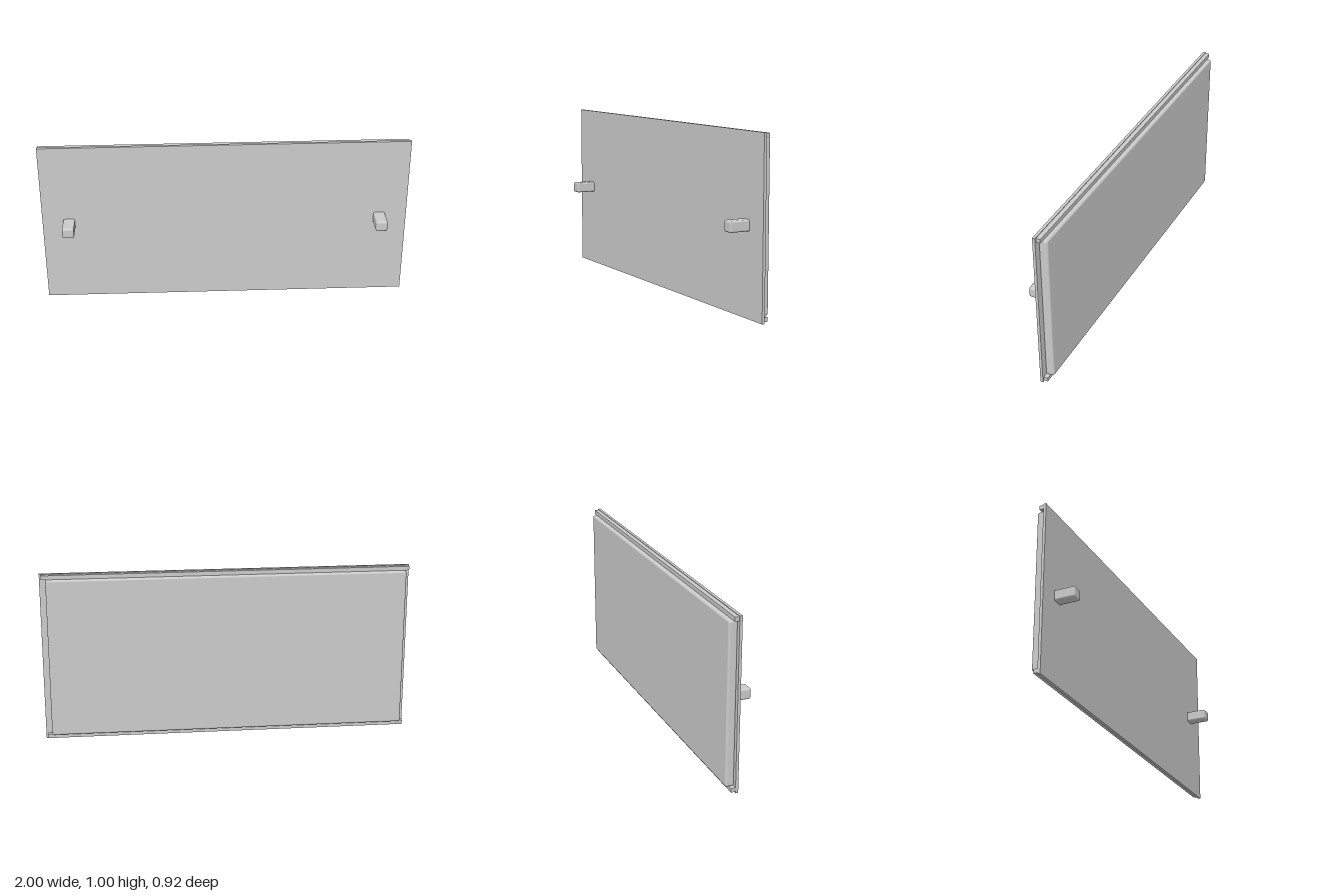
import * as THREE from 'three';
import { RoundedBoxGeometry } from 'three/addons/geometries/RoundedBoxGeometry.js';

const material = new THREE.MeshStandardMaterial({ color: 0xcccccc });

// Adds a box spanning the given ranges; a radius rounds its edges.
function addBox(parent, name, [x0, x1], [y0, y1], [z0, z1], radius = 0) {
  const size = [x1 - x0, y1 - y0, z1 - z0];
  const geometry = radius
    ? new RoundedBoxGeometry(...size, 4, radius)
    : new THREE.BoxGeometry(...size);
  const mesh = new THREE.Mesh(geometry, material);
  mesh.name = name;
  mesh.position.set((x0 + x1) / 2, (y0 + y1) / 2, (z0 + z1) / 2);
  parent.add(mesh);
}

export function createModel() {
  const model = new THREE.Group();
  model.name = 'panelDoor';

  // The whole door is swung about the vertical axis
  const door = new THREE.Group();
  door.name = 'door';
  door.rotation.y = -THREE.MathUtils.degToRad(22);
  model.add(door);

  // Thin front sheet and the softly rounded slab behind it
  addBox(door, 'frontPanel', [-1.082, 1.069], [0, 1], [-0.024, -0.008]);
  addBox(door, 'backSlab', [-1.06, 1.033], [0.033, 0.972], [-0.073, -0.022], 0.012);

  // Square rails along the top and bottom edges
  addBox(door, 'topRail', [-1.079, 1.059], [0.972, 0.996], [-0.049, -0.024]);
  addBox(door, 'bottomRail', [-1.079, 1.059], [0.008, 0.032], [-0.049, -0.024]);

  // A knob near each end of the front
  for (const [name, x] of [['rightKnob', -0.926], ['leftKnob', 0.909]]) {
    addBox(door, name, [x - 0.034, x + 0.034], [0.472, 0.534], [-0.02, 0.112], 0.01);
  }

  return model;
}
